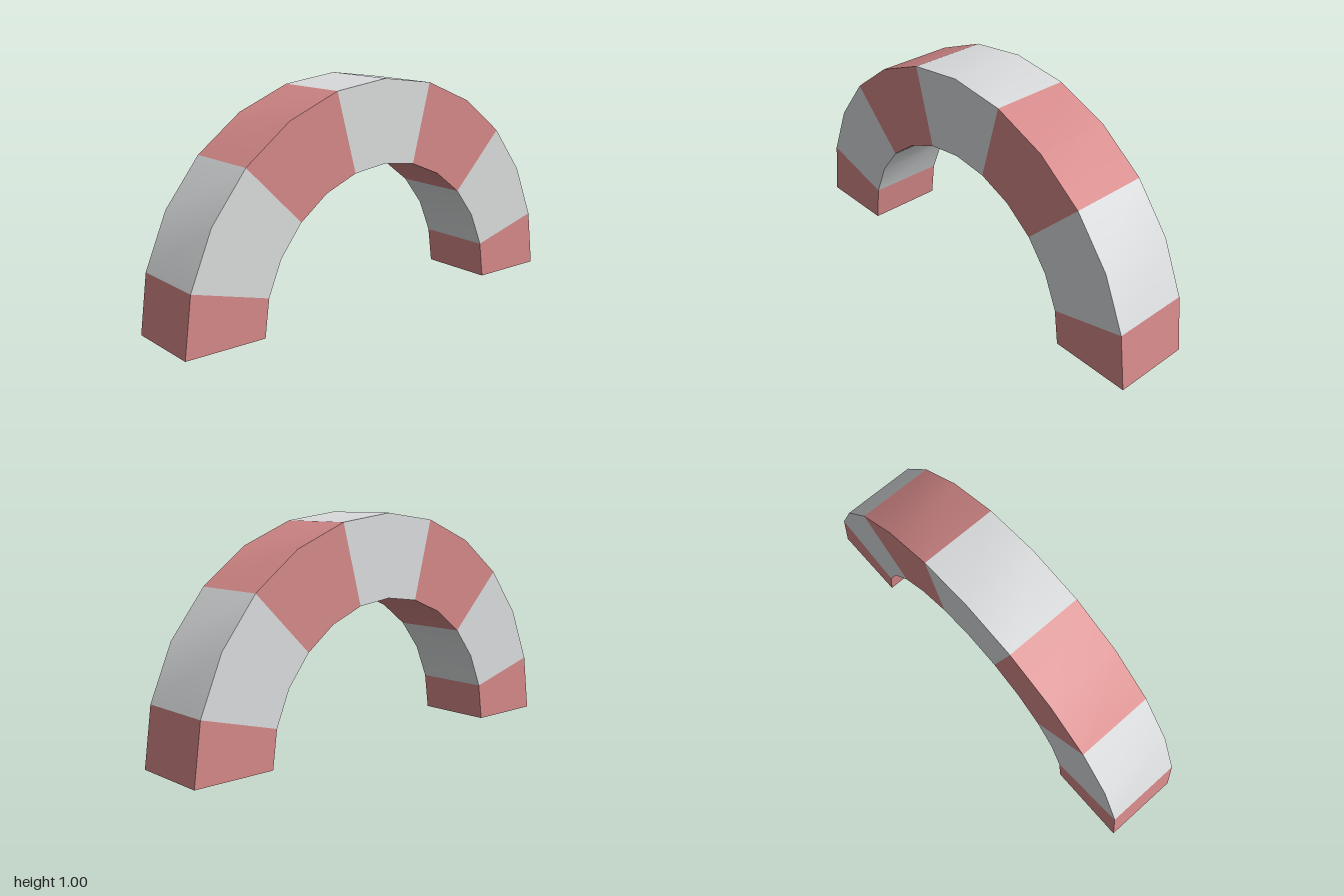
import * as THREE from 'three';
import { toCreasedNormals } from 'three/addons/utils/BufferGeometryUtils.js';

const OUTER = 1, INNER = 0.635, HALF_DEPTH = 0.177;
const STEP = Math.PI / 12;

// Arch block from step a to step b, open at hidden joints and closed at the feet
function blockGeometry(a, b) {
  const pos = [];
  const quad = (p, q, r, s) => pos.push(...p, ...q, ...r, ...p, ...r, ...s);
  const section = (i) => {
    const c = Math.cos(i * STEP), s = Math.sin(i * STEP);
    return [[OUTER, HALF_DEPTH], [OUTER, -HALF_DEPTH], [INNER, -HALF_DEPTH], [INNER, HALF_DEPTH]]
      .map(([r, z]) => [r * c, r * s, z]);
  };
  for (let i = a; i < b; i++) {
    const p = section(i), q = section(i + 1);
    for (let k = 0; k < 4; k++) {
      const n = (k + 1) % 4;
      quad(p[k], p[n], q[n], q[k]);
    }
  }
  if (a === 0) {
    const [p, q, r, s] = section(0);
    quad(s, r, q, p);
  }
  if (b === 12) quad(...section(12));
  const geometry = new THREE.BufferGeometry();
  geometry.setAttribute('position', new THREE.Float32BufferAttribute(pos, 3));
  return toCreasedNormals(geometry, Math.PI / 6);
}

export function createModel() {
  const red = new THREE.MeshStandardMaterial({ name: 'soft red', color: 0xd48888 });
  const grey = new THREE.MeshStandardMaterial({ name: 'light grey', color: 0xd9dbdc });
  const arch = new THREE.Group();
  arch.name = 'arch';

  // Alternating blocks; the two feet are half length
  const joints = [0, 1, 3, 5, 7, 9, 11, 12];
  for (let i = 0; i < joints.length - 1; i++) {
    const block = new THREE.Mesh(blockGeometry(joints[i], joints[i + 1]), i % 2 ? grey : red);
    block.name = i === 0 ? 'leftFoot' : i === 6 ? 'rightFoot' : i === 3 ? 'keystone' : `archBlock${i}`;
    arch.add(block);
  }
  return arch;
}
